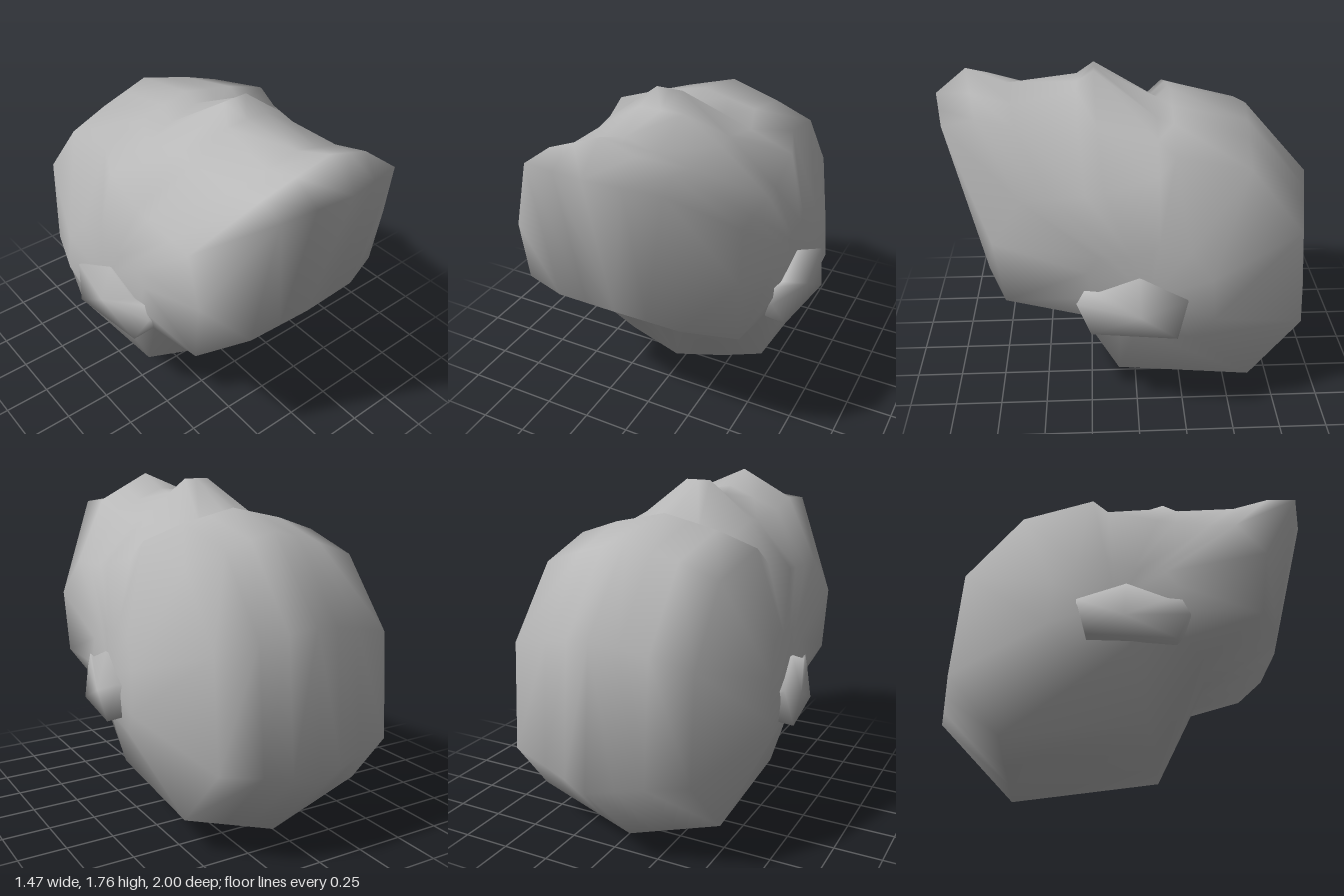
import * as THREE from 'three';
import { mergeVertices } from 'three/addons/utils/BufferGeometryUtils.js';

const lerp = THREE.MathUtils.lerp;
const flip = ([x, y, z]) => [-x, y, z];

// Skin a grid of points: each row is a list of [x, y, z], the rows form a closed loop
function skin(rows) {
  const pos = [];
  const same = (p, q) => p.every((v, i) => v === q[i]);
  const tri = (a, b, c) => {
    if (!same(a, b) && !same(b, c) && !same(a, c)) pos.push(...a, ...b, ...c);
  };
  rows.forEach((row, k) => {
    const next = rows[(k + 1) % rows.length];
    for (let j = 0; j < row.length - 1; j++) {
      const a = row[j], b = row[j + 1], c = next[j + 1], d = next[j];
      // mirrored diagonals keep both halves alike
      if (j < (row.length - 1) / 2) { tri(a, b, d); tri(b, c, d); }
      else { tri(a, b, c); tri(a, c, d); }
    }
  });
  const soup = new THREE.BufferGeometry();
  soup.setAttribute('position', new THREE.Float32BufferAttribute(pos, 3));
  const geometry = mergeVertices(soup, 1e-4);
  geometry.computeVertexNormals();
  return geometry;
}

// One section across the head: midline, cheek, edge, temple, centre of the side.
// fall is how much of the drop to the edge happens before the cheek.
function section([midY, midZ, x, y, z, fall, ridge]) {
  const cheek = [x * 0.57, lerp(midY, y, fall), lerp(midZ, z, midZ > 0 ? 0.25 : 0.57)];
  const near = ridge
    ? [ridge, midY, midZ]
    : [cheek[0] / 2, (midY + cheek[1]) / 2, (midZ + cheek[2]) / 2];
  const sideY = lerp(y, 0.8, 0.6);
  const sideZ = lerp(z, -0.05, 0.6);
  const temple = [0.66 - 0.1 * sideZ - 0.15 * Math.abs(sideY - 0.75), sideY, sideZ];
  const half = [near, cheek, [x, y, z], temple, [0.66, 0.8, -0.05]];
  return [...half.map(flip).reverse(), [0, midY, midZ], ...half];
}

// Midline y, z; edge x, y, z; fall; optional ridge half width
const sections = [
  // chin and mouth
  [1.63, 1, 0.61, 1.1, 0.7, 0.06],
  [1.76, 0.84, 0.56, 1.3, 0.56, 0.31],
  [1.68, 0.64, 0.55, 1.3, 0.42, 0.3],
  // nose
  [1.68, 0.29, 0.56, 1.32, 0.25, 0.36, 0.12],
  [1.76, 0.2, 0.56, 1.33, 0.16, 0.45, 0.07],
  // eye hollow, brow and crown
  [1.59, -0.12, 0.54, 1.4, -0.1, 0.55],
  [1.63, -0.19, 0.51, 1.49, -0.18, 0.46],
  [1.55, -0.58, 0.48, 1.4, -0.55, 0.5],
  // back of the skull
  [1.15, -0.93, 0.49, 1.05, -0.83, 0.5],
  [0.42, -1, 0.49, 0.5, -0.87, 0.57],
  // underside and neck
  [0, -0.6, 0.52, 0.18, -0.6, 0.57],
  [0.09, 0.15, 0.51, 0.24, 0.1, 0.57],
  [0.63, 0.41, 0.58, 0.65, 0.29, 0.5],
  // jaw
  [0.82, 0.8, 0.6, 0.765, 0.66, 0.5],
];

// Ear outline, up the front, over the top and down the back
const earRim = [
  [0.63, 0.75, 0.31], [0.63, 0.83, 0.27], [0.645, 0.83, 0.2], [0.65, 0.91, 0],
  [0.7, 0.8, -0.24], [0.735, 0.6, -0.19], [0.68, 0.6, 0.24],
];

export function createModel() {
  const grey = new THREE.MeshStandardMaterial({ color: 0xb8b8b8 });
  grey.name = 'grey';
  const group = new THREE.Group();
  group.name = 'head';

  const add = (name, rows) => {
    const mesh = new THREE.Mesh(skin(rows), grey);
    mesh.name = name;
    group.add(mesh);
  };
  add('skull', sections.map(section));

  // Ears: a rim rising out of the head, closed by a domed face
  const ear = earRim.map((p) => [[0.47, lerp(p[1], 0.64, 0.5), p[2]], p, [0.71, 0.71, -0.01]]);
  add('leftEar', ear);
  add('rightEar', ear.map((row) => row.map(flip).reverse()));
  return group;
}
